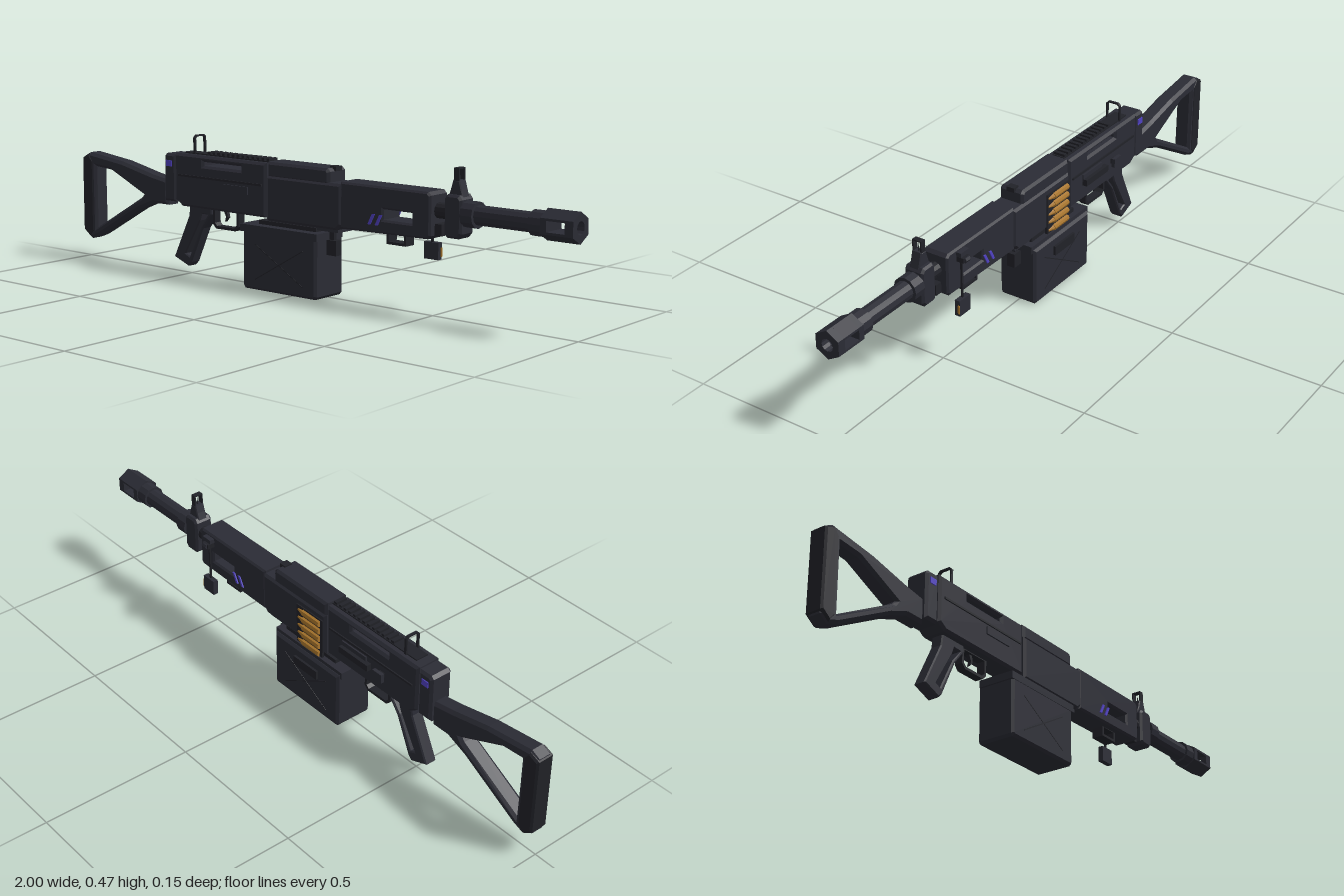
import * as THREE from 'three';

const mat = (name, color) => {
  const m = new THREE.MeshStandardMaterial({ color });
  m.name = name;
  return m;
};

export function createModel() {
  const model = new THREE.Group();
  model.name = 'beltFedRifle';
  const dark = mat('gunmetal', 0x2b2c35);
  const black = mat('blackSteel', 0x212228);
  const purple = mat('purplePaint', 0x5142c4);
  const brass = mat('brass', 0xa8752c);
  const ZC = 0.003; // centre plane of the gun

  const add = (name, geo, m = dark, x = 0, y = 0, z = 0) => {
    const mesh = new THREE.Mesh(geo, m);
    mesh.name = name;
    mesh.position.set(x, y, z);
    model.add(mesh);
    return mesh;
  };
  // box from its limits
  const box = (name, x0, x1, y0, y1, z0, z1, m = dark) =>
    add(name, new THREE.BoxGeometry(x1 - x0, y1 - y0, z1 - z0), m, (x0 + x1) / 2, (y0 + y1) / 2, (z0 + z1) / 2);
  const toPath = (pts) => pts.map(([a, b]) => new THREE.Vector2(a, b));
  const rect = (x0, x1, y0, y1) => [[x0, y0], [x1, y0], [x1, y1], [x0, y1]];
  const extrude = (pts, holes, depth, bevel) => {
    const shape = new THREE.Shape(toPath(pts));
    holes.forEach((h) => shape.holes.push(new THREE.Path(toPath(h))));
    const geo = new THREE.ExtrudeGeometry(shape, {
      depth: depth - 2 * bevel, bevelEnabled: bevel > 0, bevelSize: bevel,
      bevelThickness: bevel, bevelOffset: -bevel, bevelSegments: 1, curveSegments: 6,
    });
    return geo.translate(0, 0, bevel - depth / 2);
  };
  // side profile with chamfered edges, centred on the gun plane
  const slab = (name, pts, holes, half, bevel = 0.008, m = dark, z = ZC) =>
    add(name, extrude(pts, holes, half * 2, bevel), m, 0, 0, z);
  // faceted cylinder along x
  const rod = (name, x0, x1, y, z, r, sides, m = dark, r2 = r) => {
    const geo = new THREE.CylinderGeometry(r2, r, x1 - x0, sides).toNonIndexed();
    geo.computeVertexNormals();
    geo.rotateZ(-Math.PI / 2);
    return add(name, geo, m, (x0 + x1) / 2, y, z);
  };

  // skeleton stock
  slab('stock',
    [[-0.995, 0.09], [-0.965, 0.07], [-0.925, 0.085], [-0.72, 0.2], [-0.65, 0.228], [-0.58, 0.228],
      [-0.58, 0.312], [-0.66, 0.325], [-0.8, 0.355], [-0.965, 0.375], [-0.995, 0.36]],
    [[[-0.935, 0.328], [-0.86, 0.322], [-0.7, 0.252], [-0.71, 0.24], [-0.935, 0.112]]], 0.03, 0.01);
  slab('buttPad', [[-1, 0.1], [-0.965, 0.075], [-0.945, 0.1], [-0.945, 0.345], [-0.965, 0.37], [-1, 0.355]],
    [], 0.032, 0.006, black);
  slab('rearBlock', [[-0.585, 0.245], [-0.53, 0.245], [-0.53, 0.405], [-0.575, 0.405], [-0.585, 0.395]], [], 0.04);

  // receiver with a slot through its top
  slab('receiver',
    [[-0.53, 0.255], [-0.5, 0.235], [-0.125, 0.235], [-0.125, 0.41], [-0.53, 0.41]],
    [rect(-0.4, -0.235, 0.377, 0.39)], 0.044);
  for (const s of [-1, 1]) {
    const z = ZC + s * 0.045;
    box('receiverRib', -0.51, -0.14, 0.335, 0.342, z - 0.003, z + 0.003, black);
    box('boltCover', -0.31, -0.2, 0.302, 0.327, z - 0.004, z + 0.004);
    box('rearMark', -0.572, -0.545, 0.363, 0.383, ZC + s * 0.041 - 0.002, ZC + s * 0.041 + 0.002, purple);
    // slanted paint slashes on the handguard
    for (const x of [0.29, 0.318])
      add('slashMark', extrude([[x, 0.262], [x + 0.01, 0.262], [x + 0.027, 0.295], [x + 0.017, 0.295]], [], 0.004, 0),
        purple, 0, 0, ZC + s * 0.046);
  }
  box('topRail', -0.5, -0.125, 0.405, 0.414, ZC - 0.022, ZC + 0.022, black);
  for (let i = 0; i < 13; i++)
    box('railTooth', -0.4 + i * 0.0215, -0.388 + i * 0.0215, 0.412, 0.422, ZC - 0.02, ZC + 0.02, black);

  // feed section and its lid
  slab('feedBody', [[-0.12, 0.228], [0.165, 0.228], [0.185, 0.245], [0.185, 0.372], [-0.12, 0.372]], [], 0.047);
  slab('feedLid', [[-0.12, 0.365], [0.135, 0.365], [0.135, 0.405], [0.125, 0.415], [-0.12, 0.415]], [], 0.043);
  box('lidHinge', 0.115, 0.14, 0.405, 0.42, ZC - 0.014, ZC + 0.014, black);

  // handguard with see-through slot and window
  slab('handguard',
    [[0.18, 0.235], [0.51, 0.24], [0.52, 0.25], [0.52, 0.37], [0.51, 0.38], [0.18, 0.38]],
    [rect(0.19, 0.508, 0.341, 0.35), rect(0.345, 0.452, 0.28, 0.312)], 0.044, 0.006);
  slab('handguardLoop', rect(0.342, 0.415, 0.204, 0.242), [rect(0.35, 0.407, 0.212, 0.236)], 0.02, 0, black);
  box('lowerLug', 0.51, 0.545, 0.25, 0.285, ZC - 0.02, ZC + 0.02, black);

  // barrel, collars and gas block
  const BY = 0.323;
  rod('barrelRoot', 0.5, 0.57, BY, ZC, 0.024, 12, black);
  rod('barrel', 0.6, 0.9, BY, ZC, 0.03, 12);
  rod('barrelCollar', 0.62, 0.662, BY, ZC, 0.04, 12);
  rod('muzzleCollar', 0.85, 0.897, BY, ZC, 0.038, 12);
  slab('gasBlock',
    [[0.56, 0.26], [0.57, 0.25], [0.61, 0.25], [0.622, 0.265], [0.622, 0.365], [0.612, 0.378], [0.57, 0.378], [0.56, 0.365]],
    [], 0.033, 0.007);

  // hexagonal muzzle brake, open at both sides
  const hex = Array.from({ length: 6 }, (_, i) => {
    const a = Math.PI / 2 + i * Math.PI / 3;
    return [Math.cos(a) * 0.046, Math.sin(a) * 0.046];
  });
  const bore = Array.from({ length: 12 }, (_, i) => [Math.cos(i * Math.PI / 6) * 0.02, Math.sin(i * Math.PI / 6) * 0.02]);
  const brake = (name, pts, holes, x0, x1) =>
    add(name, extrude(pts, holes, x1 - x0, 0).rotateY(Math.PI / 2), dark, (x0 + x1) / 2, BY, ZC);
  brake('brakeRear', hex, [], 0.893, 0.913);
  brake('brakeFront', hex, [bore], 0.973, 1);
  for (const s of [-1, 1])
    brake('brakeBar', [[-0.04, s * 0.016], [0.04, s * 0.016], [0.04, s * 0.023], [0, s * 0.046], [-0.04, s * 0.023]], [], 0.912, 0.975);

  // front sight: tapered base, framed needle
  slab('frontSightBase', [[0.565, 0.372], [0.617, 0.372], [0.61, 0.395], [0.603, 0.42], [0.58, 0.42], [0.573, 0.395]], [], 0.017, 0.003);
  const frontHood = extrude(rect(-0.016, 0.016, 0.41, 0.456), [rect(-0.012, 0.012, 0.414, 0.452)], 0.018, 0);
  add('frontSightHood', frontHood.rotateY(Math.PI / 2), black, 0.592, 0, ZC);
  add('frontSightNeedle', new THREE.ConeGeometry(0.004, 0.03, 6), black, 0.592, 0.43, ZC);
  // rear sight hoop
  const hoop = (w, y0, y1, c) => [[-w, y0], [w, y0], [w, y1 - c], [w - c, y1], [-w + c, y1], [-w, y1 - c]];
  const rearHoop = extrude(hoop(0.026, 0.405, 0.473, 0.008), [hoop(0.021, 0.414, 0.468, 0.006)], 0.009, 0);
  add('rearSight', rearHoop.rotateY(Math.PI / 2), black, -0.455, 0, ZC);

  // open-frame grip, trigger guard and trigger
  slab('grip',
    [[-0.56, 0.055], [-0.495, 0.03], [-0.48, 0.045], [-0.425, 0.165], [-0.385, 0.215], [-0.385, 0.24], [-0.485, 0.24], [-0.49, 0.2]],
    [[[-0.507, 0.072], [-0.488, 0.064], [-0.434, 0.172], [-0.402, 0.213], [-0.43, 0.213], [-0.438, 0.19]]], 0.021, 0.004);
  slab('triggerGuard', [[-0.385, 0.185], [-0.37, 0.17], [-0.285, 0.17], [-0.27, 0.185], [-0.27, 0.24], [-0.385, 0.24]],
    [[[-0.376, 0.189], [-0.366, 0.179], [-0.289, 0.179], [-0.279, 0.189], [-0.279, 0.232], [-0.376, 0.232]]], 0.014, 0, black);
  slab('trigger', [[-0.345, 0.236], [-0.33, 0.236], [-0.325, 0.21], [-0.338, 0.195], [-0.333, 0.212]], [], 0.006, 0, black);

  // ammunition box with lid, clasp, handle and pressed cross
  slab('magazineNeck', rect(-0.12, 0.165, 0.218, 0.235), [], 0.033, 0);
  box('magazineTop', -0.16, 0.08, 0.2, 0.225, -0.035, 0.04, black);
  slab('magazine', [[-0.205, 0.012], [-0.198, 0.003], [0.095, 0.003], [0.103, 0.012], [0.103, 0.2], [-0.205, 0.2]], [], 0.067, 0.008, dark, 0.003);
  box('magazineLid', -0.212, 0.108, 0.188, 0.212, -0.054, 0.072);
  box('magazineClasp', 0.1, 0.14, 0.14, 0.188, -0.011, 0.017, black);
  box('claspHook', 0.1, 0.125, 0.18, 0.235, -0.003, 0.009, black);
  for (const z of [-0.064, 0.07]) {
    for (const s of [-1, 1]) {
      const bar = box('pressedCross', -0.165, 0.065, 0.093, 0.096, z - 0.001, z + 0.001, black);
      bar.rotation.z = s * 0.52;
    }
  }
  box('magazineHandle', -0.11, 0.0, 0.137, 0.168, -0.072, -0.062, black);

  // belt of cartridges on the far side
  box('feedTray', -0.112, 0.012, 0.205, 0.35, -0.048, -0.04, black);
  for (let i = 0; i < 5; i++) {
    const y = 0.222 + i * 0.028, z = -0.047;
    rod('cartridgeCase', -0.1, -0.02, y, z, 0.011, 8, brass);
    rod('cartridgeTip', -0.02, 0.005, y, z, 0.009, 8, brass, 0.004);
  }
  // charging handle and its knob
  box('chargingSlide', -0.33, -0.2, 0.29, 0.312, -0.058, -0.04, black);
  box('chargingArm', -0.39, -0.37, 0.296, 0.312, -0.06, -0.04, black);
  box('chargingKnob', -0.4, -0.36, 0.29, 0.32, -0.064, -0.052);

  // side knobs and hanging charm
  box('sideMount', 0.445, 0.475, 0.34, 0.356, -0.066, -0.04, black);
  box('sideKnobUpper', 0.44, 0.48, 0.36, 0.374, -0.061, -0.044);
  rod('sideKnobOuter', 0.45, 0.47, 0.348, -0.065, 0.009, 6);
  box('charmCord', 0.458, 0.464, 0.21, 0.345, -0.051, -0.045, black);
  box('charmCube', 0.435, 0.488, 0.163, 0.215, -0.058, -0.04);
  box('charmStripe', 0.488, 0.491, 0.172, 0.2, -0.058, -0.052, brass);
  return model;
}
